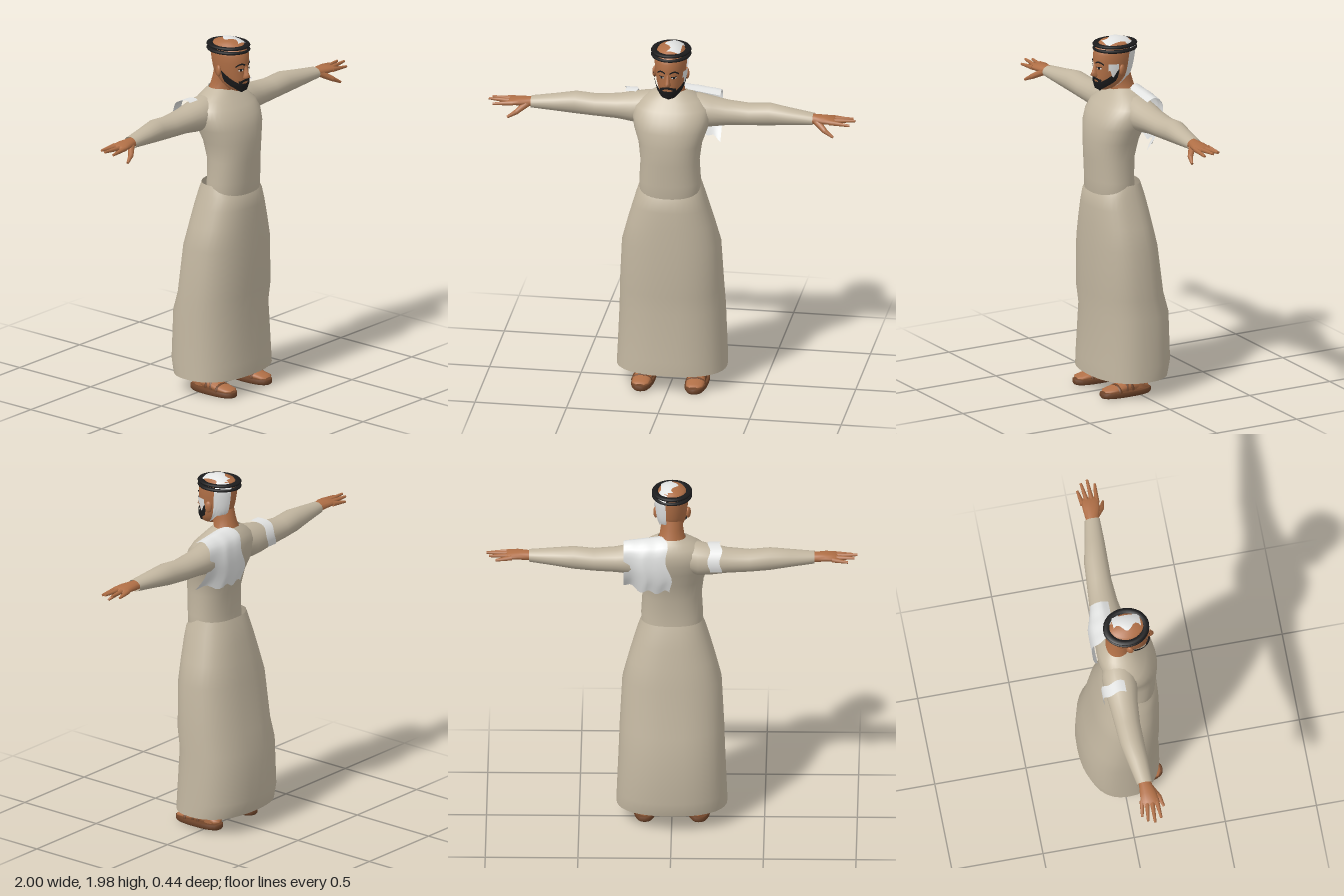
import * as THREE from 'three';

const mat = (name, color, side = THREE.FrontSide) => {
  const m = new THREE.MeshStandardMaterial({ color, side });
  m.name = name;
  return m;
};

// Smooth surface from a point rule; u runs around, v runs along
function grid(fn, nu, nv, closed = false) {
  const pos = [], idx = [], cols = closed ? nu : nu + 1;
  for (let i = 0; i <= nv; i++)
    for (let j = 0; j < cols; j++) pos.push(...fn(j / nu, i / nv));
  for (let i = 0; i < nv; i++)
    for (let j = 0; j < nu; j++) {
      const a = i * cols + j, b = i * cols + (j + 1) % cols;
      idx.push(a, b, b + cols, a, b + cols, a + cols);
    }
  const g = new THREE.BufferGeometry();
  g.setAttribute('position', new THREE.Float32BufferAttribute(pos, 3));
  g.setIndex(idx);
  g.computeVertexNormals();
  return g;
}

// Rows are [position along axis, centre u, radius u, centre v, radius v]
const order = { x: (t, u, v) => [t, u, v], y: (t, u, v) => [v, t, u], z: (t, u, v) => [u, v, t] };
function loft(rows, axis = 'y', n = 28, power = 1) {
  const bend = (c) => Math.sign(c) * Math.abs(c) ** power;
  return grid((u, v) => {
    const [t, cu, ru, cv, rv] = rows[Math.round(v * (rows.length - 1))];
    const a = u * Math.PI * 2;
    return order[axis](t, cu + ru * bend(Math.cos(a)), cv + rv * bend(Math.sin(a)));
  }, n, rows.length - 1, true);
}

// Patch lying on an upright loft; angle 0 faces front, positive angles lie to the left
function patch(rows, a0, a1, low, high, off, nu = 14, nv = 8) {
  return grid((u, v) => {
    const a = a0 + (a1 - a0) * u;
    const y = low(a) + (high(a) - low(a)) * v;
    let k = 0;
    while (k < rows.length - 2 && y > rows[k + 1][0]) k++;
    const A = rows[k], B = rows[k + 1];
    const f = Math.min(1, Math.max(0, (y - A[0]) / (B[0] - A[0])));
    const [, cu, ru, cv, rv] = A.map((p, i) => p + (B[i] - p) * f);
    return [cv + (rv + off) * Math.sin(a), y, cu + (ru + off) * Math.cos(a)];
  }, nu, nv);
}

// Tapered rod between two points
function rod(a, b, r0, r1) {
  const p = new THREE.Vector3(...a), q = new THREE.Vector3(...b), d = q.clone().sub(p);
  const g = new THREE.CylinderGeometry(r1, r0, d.length(), 8);
  g.applyQuaternion(new THREE.Quaternion().setFromUnitVectors(new THREE.Vector3(0, 1, 0), d.normalize()));
  return g.translate(...p.add(q).multiplyScalar(0.5).toArray());
}

function mirrored(g) {
  const m = g.clone().scale(-1, 1, 1), i = m.index.array;
  for (let k = 0; k < i.length; k += 3) [i[k + 1], i[k + 2]] = [i[k + 2], i[k + 1]];
  return m;
}

export function createModel() {
  const model = new THREE.Group();
  model.name = 'robedMan';
  const robe = mat('robe beige', 0xc2b6a0, THREE.DoubleSide);
  const skin = mat('skin', 0xb06f46);
  const black = mat('hair black', 0x1b1b1c, THREE.DoubleSide);
  const white = mat('white cloth', 0xe2e3e2, THREE.DoubleSide);
  const leather = mat('sandal leather', 0x70452a);
  const add = (name, g, m) => {
    const mesh = new THREE.Mesh(g, m);
    mesh.name = name;
    model.add(mesh);
  };
  const pair = (name, g, m) => {
    add(name + 'Left', g, m);
    add(name + 'Right', mirrored(g), m);
  };
  // Convert front and back extents into loft rows
  const body = (list) => list.map(([y, rx, f, b]) => [y, (f + b) / 2, (f - b) / 2, 0, rx]);

  // Robe skirt, open below
  add('robeSkirt', loft(body([
    [0.10, 0.30, 0.22, -0.20], [0.18, 0.297, 0.22, -0.22], [0.45, 0.286, 0.205, -0.212],
    [0.56, 0.282, 0.22, -0.18], [0.83, 0.268, 0.22, -0.145], [0.95, 0.236, 0.218, -0.122],
    [1.05, 0.207, 0.214, -0.102], [1.12, 0.186, 0.206, -0.085], [1.18, 0.166, 0.17, -0.065],
  ]), 'y', 36, 0.85), robe);

  // Robe torso
  add('robeTorso', loft(body([
    [1.08, 0.16, 0.185, -0.04], [1.13, 0.165, 0.202, -0.035], [1.20, 0.167, 0.202, -0.03],
    [1.32, 0.16, 0.212, -0.035], [1.42, 0.172, 0.215, -0.06], [1.50, 0.20, 0.205, -0.09],
    [1.56, 0.21, 0.185, -0.108], [1.61, 0.20, 0.15, -0.112], [1.65, 0.16, 0.112, -0.10],
    [1.68, 0.11, 0.085, -0.08], [1.70, 0.075, 0.062, -0.062],
  ]), 'y', 36, 0.9), robe);

  // Sleeves
  pair('sleeve', loft([
    [0.06, 1.59, 0.08, -0.01, 0.075], [0.14, 1.575, 0.094, -0.015, 0.095],
    [0.22, 1.57, 0.082, -0.018, 0.088], [0.30, 1.567, 0.068, -0.02, 0.077],
    [0.42, 1.565, 0.06, -0.02, 0.068], [0.53, 1.574, 0.061, -0.016, 0.065],
    [0.64, 1.573, 0.047, -0.004, 0.055], [0.77, 1.572, 0.032, 0.008, 0.042],
  ], 'x', 20), robe);

  // Hands
  pair('palm', loft([
    [0.72, 1.572, 0.025, 0.008, 0.033], [0.78, 1.573, 0.026, 0.01, 0.036],
    [0.83, 1.575, 0.023, 0.015, 0.046], [0.88, 1.574, 0.018, 0.016, 0.05],
    [0.90, 1.573, 0.004, 0.016, 0.04],
  ], 'x', 14), skin);
  const fingers = [
    ['littleFinger', -0.025, 0.95, -0.04, 1.565], ['ringFinger', 0.002, 0.985, -0.014, 1.578],
    ['middleFinger', 0.028, 1.0, 0.022, 1.58], ['indexFinger', 0.052, 0.975, 0.06, 1.565],
  ];
  for (const [name, z0, x1, z1, y1] of fingers)
    pair(name, rod([0.865, 1.573, z0], [x1, y1, z1], 0.0145, 0.007), skin);
  pair('thumbBase', rod([0.79, 1.567, 0.03], [0.845, 1.53, 0.075], 0.02, 0.014), skin);
  pair('thumbTip', rod([0.84, 1.533, 0.072], [0.89, 1.505, 0.09], 0.0145, 0.007), skin);

  // Neck and head
  add('neck', loft([
    [1.60, -0.005, 0.07, 0, 0.09], [1.67, 0.005, 0.076, 0, 0.085], [1.70, 0.005, 0.066, 0, 0.068],
    [1.75, 0.02, 0.066, 0, 0.06], [1.82, 0.04, 0.07, 0, 0.06],
  ], 'y', 20), skin);
  const head = [
    [1.695, 0.12, 0.015, 0, 0.015], [1.705, 0.11, 0.048, 0, 0.038], [1.74, 0.088, 0.08, 0, 0.061],
    [1.78, 0.072, 0.1, 0, 0.074], [1.82, 0.066, 0.106, 0, 0.081], [1.86, 0.064, 0.112, 0, 0.085],
    [1.90, 0.06, 0.114, 0, 0.088], [1.935, 0.053, 0.11, 0, 0.085], [1.96, 0.05, 0.085, 0, 0.067],
    [1.97, 0.05, 0.045, 0, 0.036], [1.973, 0.05, 0.001, 0, 0.001],
  ];
  add('head', loft(head, 'y', 28), skin);
  add('nose', loft([
    [1.773, 0.168, 0.01, 0, 0.012], [1.784, 0.17, 0.031, 0, 0.019], [1.80, 0.17, 0.024, 0, 0.013],
    [1.845, 0.17, 0.009, 0, 0.008],
  ], 'y', 12), skin);
  const ear = new THREE.SphereGeometry(1, 12, 10).scale(0.012, 0.032, 0.02);
  pair('ear', ear.rotateY(0.4).translate(0.088, 1.815, 0.055), skin);

  // Beard, moustache, brows and eyes
  const flat = (y) => () => y;
  const beardTop = (a) => 1.75 + 0.075 * Math.max(0, Math.abs(a) - 0.5) ** 1.5;
  add('beard', patch(head, -1.5, 1.5, (a) => 1.69 + 0.03 * a * a, beardTop, 0.011, 28, 10), black);
  add('moustache', patch(head, -0.55, 0.55, (a) => 1.762 - 0.05 * a * a, (a) => 1.775 - 0.04 * a * a, 0.009), black);
  pair('moustacheEnd', patch(head, 0.38, 0.62, flat(1.735), flat(1.765), 0.009), black);
  pair('eyebrow', patch(head, 0.14, 0.72, (a) => 1.838 + 0.02 * Math.sin(a * 4), (a) => 1.847 + 0.02 * Math.sin(a * 4), 0.005), black);
  pair('eyeWhite', patch(head, 0.26, 0.56, flat(1.822), flat(1.832), 0.003), white);
  pair('pupil', patch(head, 0.34, 0.48, flat(1.821), flat(1.833), 0.005), black);
  pair('eyelid', patch(head, 0.22, 0.6, flat(1.831), flat(1.835), 0.005), black);

  // Coiled headband
  for (const y of [1.922, 1.946]) {
    const coil = new THREE.TorusGeometry(0.092, 0.017, 10, 32).rotateX(Math.PI / 2);
    add('headbandCoil', coil.scale(1, 0.55, 1.15).translate(0, y, 0.05), black);
  }

  // Head cloth remnants
  add('crownCloth', grid((u, v) => {
    const z = 0.13 - 0.15 * v, x = -0.015 + 0.075 * u + 0.02 * Math.sin(v * 9) * (1 - u);
    return [x, 1.985 - 5 * x * x - 3 * (z - 0.05) ** 2, z];
  }, 8, 10), white);
  add('napeCloth', patch(head, 1.95, 2.8, (a) => 1.74 + 0.03 * Math.sin(a * 9), flat(1.965), 0.011), white);
  add('templeCloth', patch(head, 0.95, 1.45, (a) => 1.80 + 0.02 * Math.sin(a * 14), flat(1.855), 0.012), white);

  // Cloth draped over the left shoulder and back
  const drape = new THREE.CatmullRomCurve3([[1.70, 0.0], [1.712, -0.05], [1.67, -0.112], [1.58, -0.132], [1.49, -0.127], [1.41, -0.105]]
    .map(([y, z]) => new THREE.Vector3(0, y, z)));
  add('shoulderCloth', grid((u, v) => {
    const p = drape.getPoint(v);
    const x = 0.26 * u + 0.05 * (1 - v) * (1 - u) + (1 - u) * 0.012 * Math.sin(v * 14);
    const wrap = Math.max(0, u - 0.55) * v * v;
    return [x, p.y - 0.03 * u * (1 - v) + 0.012 * Math.sin(u * 17) * v * v, p.z + wrap * 0.24];
  }, 16, 16), white);

  // Small cloth scrap on the right shoulder
  add('shoulderScrap', grid((u, v) => {
    const a = -0.35 + 2.3 * v;
    const x = -0.265 + 0.065 * u + 0.008 * Math.sin(v * 11);
    return [x, 1.575 + 0.096 * Math.cos(a), -0.03 - 0.094 * Math.sin(a)];
  }, 5, 12), white);

  // Feet and sandals
  pair('ankle', loft([
    [0.03, -0.012, 0.05, 0.145, 0.036], [0.07, -0.004, 0.055, 0.145, 0.04],
    [0.12, -0.006, 0.05, 0.145, 0.041], [0.30, -0.01, 0.055, 0.145, 0.05],
    [0.31, -0.01, 0.001, 0.145, 0.001],
  ], 'y', 16), skin);
  pair('foot', loft([
    [-0.07, 0.142, 0.005, 0.04, 0.005], [-0.055, 0.142, 0.036, 0.045, 0.022],
    [0.0, 0.142, 0.04, 0.055, 0.035], [0.07, 0.144, 0.045, 0.05, 0.034],
    [0.14, 0.147, 0.051, 0.042, 0.022], [0.19, 0.148, 0.045, 0.038, 0.014],
    [0.207, 0.147, 0.02, 0.036, 0.005],
  ], 'z', 16), skin);
  pair('sandalSole', loft([
    [0.0, 0.07, 0.001, 0.146, 0.001], [0.002, 0.07, 0.145, 0.146, 0.054],
    [0.012, 0.07, 0.152, 0.146, 0.062], [0.03, 0.07, 0.152, 0.146, 0.062],
    [0.033, 0.07, 0.146, 0.146, 0.057], [0.034, 0.07, 0.001, 0.146, 0.001],
  ], 'y', 24, 0.8), leather);
  const strap = (w, h, x, y, z, tilt) =>
    new THREE.TorusGeometry(1, 0.1, 6, 20, Math.PI).scale(w, h, 0.09).rotateY(tilt).translate(x, y, z);
  pair('toeStrap', strap(0.054, 0.036, 0.147, 0.03, 0.13, 0), leather);
  pair('instepStrapA', strap(0.05, 0.06, 0.144, 0.028, 0.065, 0.4), leather);
  pair('instepStrapB', strap(0.05, 0.06, 0.144, 0.028, 0.065, -0.4), leather);
  const ankleStrap = new THREE.TorusGeometry(0.043, 0.006, 6, 24).rotateX(Math.PI / 2);
  pair('ankleStrap', ankleStrap.scale(1, 1, 1.28).translate(0.145, 0.085, -0.004), leather);

  return model;
}
